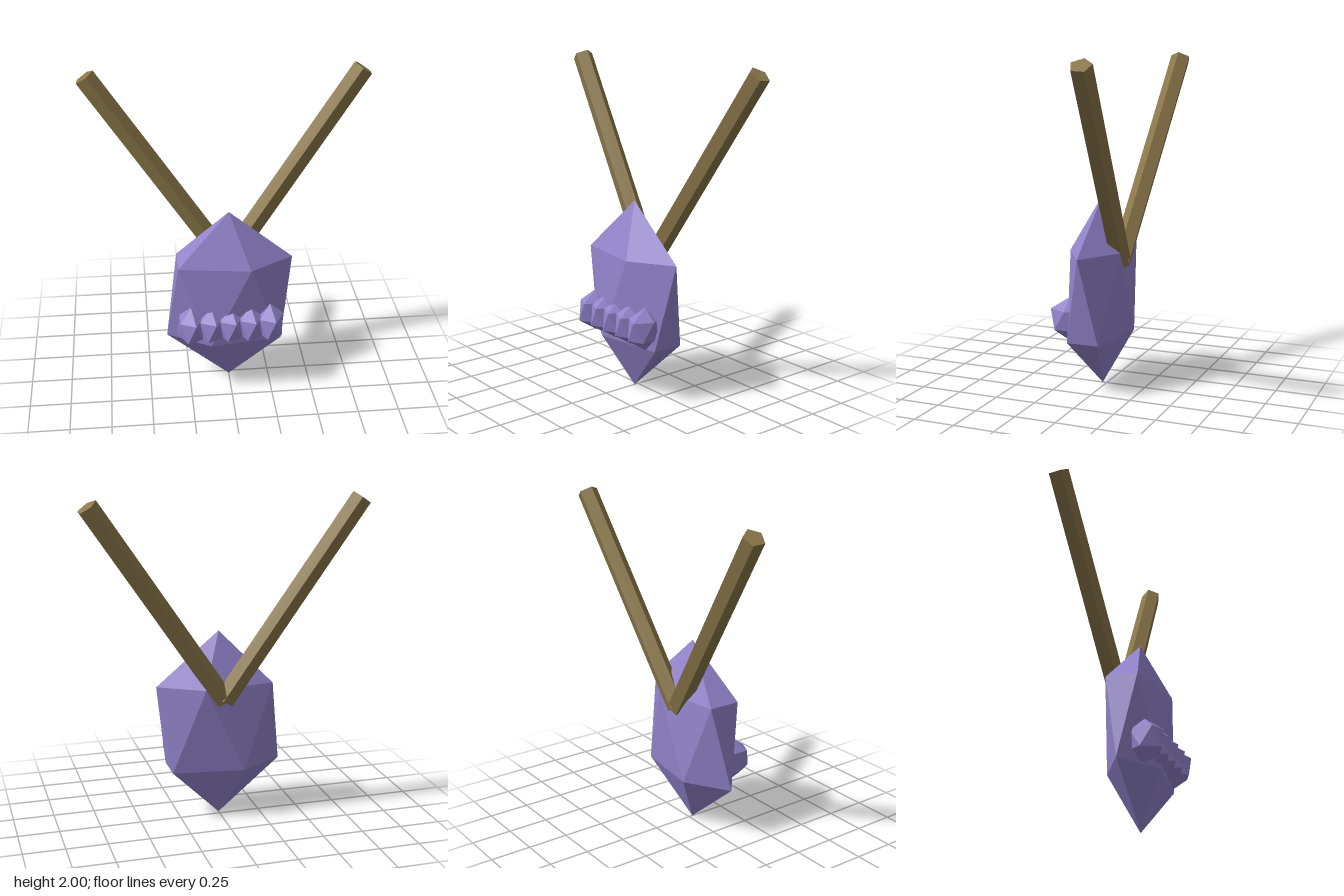
import * as THREE from 'three';

const crystalMaterial = new THREE.MeshStandardMaterial({ color: 0x9384cc, flatShading: true });
const woodMaterial = new THREE.MeshStandardMaterial({ color: 0x8c784a, flatShading: true });

// Icosahedron standing on a point: two poles and two staggered rings of five
function crystalGeometry() {
  const verts = [0, 1, 0, 0, -1, 0];
  const faces = [];
  const h = 1 / Math.sqrt(5);
  const r = 2 * h;
  for (let i = 0; i < 5; i++) {
    const a = (i * 2 * Math.PI) / 5;
    const b = a + Math.PI / 5;
    verts.push(r * Math.cos(a), h, r * Math.sin(a), r * Math.cos(b), -h, r * Math.sin(b));
    const u = 2 + 2 * i, l = u + 1;
    const u2 = 2 + 2 * ((i + 1) % 5), l2 = u2 + 1;
    faces.push(0, u2, u, u, u2, l, l2, l, u2, 1, l, l2);
  }
  return new THREE.PolyhedronGeometry(verts, faces, 1, 0);
}

function crystal(name, position, scale) {
  const mesh = new THREE.Mesh(crystalGeometry(), crystalMaterial);
  mesh.name = name;
  mesh.position.set(...position);
  mesh.scale.set(...scale);
  return mesh;
}

// Five-sided pole leaning outward, with one edge turned to the inside of the V
function pole(name, side) {
  const base = new THREE.Vector3(0, 0.77, -0.09);
  const tip = new THREE.Vector3(side * 0.805, 1.968, -0.187);
  const axis = tip.clone().sub(base);
  const length = axis.length();
  axis.normalize();
  const inner = new THREE.Vector3(-side * axis.y, Math.abs(axis.x), 0).normalize();
  const across = new THREE.Vector3().crossVectors(axis, inner);
  const mesh = new THREE.Mesh(new THREE.CylinderGeometry(0.064, 0.064, length, 5), woodMaterial);
  mesh.name = name;
  mesh.quaternion.setFromRotationMatrix(new THREE.Matrix4().makeBasis(across, axis, inner));
  mesh.position.copy(base).add(tip).multiplyScalar(0.5);
  return mesh;
}

export function createModel() {
  const model = new THREE.Group();
  model.name = 'crystalHead';

  // Main body
  model.add(crystal('body', [0, 0.588, 0.026], [0.433, 0.585, 0.187]));

  // Row of small crystals across the front
  const teeth = new THREE.Group();
  teeth.name = 'teeth';
  for (let i = -2; i <= 2; i++) {
    teeth.add(crystal('tooth', [i * 0.121, 0.456, 0.139], [0.092, 0.132, 0.13]));
  }
  model.add(teeth);

  // Pair of poles rising from the back
  model.add(pole('leftPole', 1), pole('rightPole', -1));
  return model;
}
